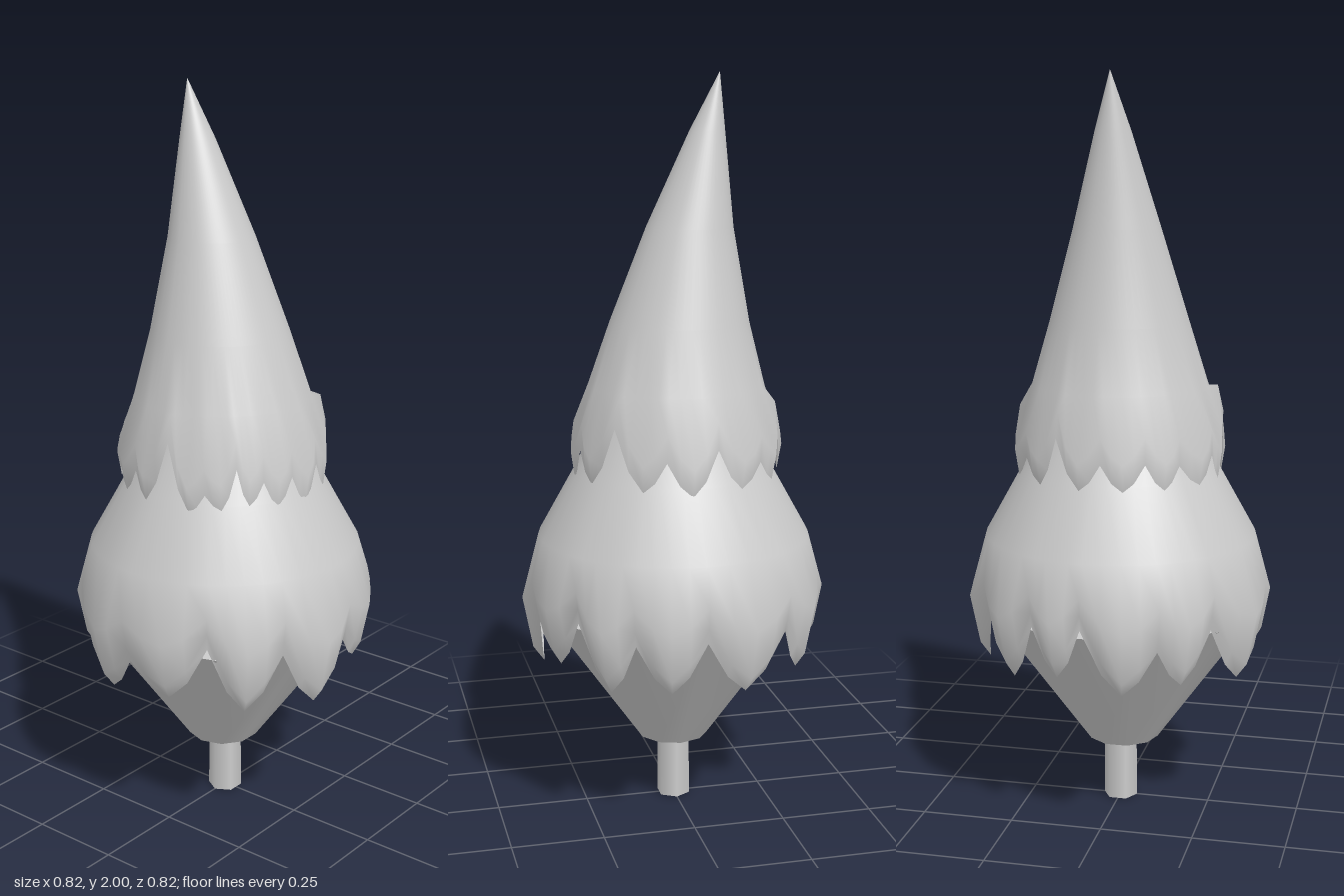
import * as THREE from 'three';

const mat = new THREE.MeshStandardMaterial({ color: 0xcccccc, side: THREE.DoubleSide });

// Hem outline: [angle in degrees from the front towards +x, height], alternating tip and notch.
const LOWER_HEM = [
  [-18, 0.41], [-3, 0.52], [15, 0.44], [32, 0.6], [47, 0.41], [62, 0.57], [80, 0.4], [95, 0.55],
  [112, 0.46], [127, 0.6], [140, 0.42], [152, 0.56], [166, 0.43], [180, 0.57], [198, 0.42],
  [217, 0.56], [232, 0.43], [246, 0.59], [256, 0.46], [267, 0.6], [283, 0.42], [297, 0.54],
  [308, 0.44], [320, 0.58],
];
const UPPER_HEM = [
  [-29, 0.94], [-17, 1.01], [-8, 0.94], [8, 1.11], [20, 0.93], [29, 0.98], [38, 0.94], [46, 1.05],
  [53, 0.95], [61, 1.01], [70, 0.94], [79, 1.01], [90, 0.93], [101, 1.02], [114, 0.94], [132, 1.1],
  [149, 0.94], [162, 1.02], [176, 0.93], [190, 1.05], [205, 0.94], [220, 1.0], [234, 0.94],
  [246, 1.07], [260, 0.94], [272, 1.01], [284, 0.94], [296, 1.01], [307, 0.94], [316, 1.0],
];

// Adds a point between each tip and notch so the lobes are rounded and the notches sharp.
function roundHem(hem) {
  return hem.flatMap(([a, y], i) => {
    const [b0, y2] = hem[(i + 1) % hem.length];
    const b = b0 < a ? b0 + 360 : b0;
    const t = i % 2 === 0 ? 0.33 : 0.67;
    return [[a, y], [(a + b) / 2, y + (y2 - y) * t]];
  });
}

// Open shell of rings, from top to hem. profile(hemY) gives [y, radius, centreX] per ring.
function leafShell(name, hem, profile) {
  const columns = roundHem(hem);
  const n = columns.length;
  const rows = profile(1).length;
  const positions = [];
  const index = [];
  const rings = columns.map(([, y]) => profile(y));
  for (let k = 0; k < rows; k++) {
    for (let i = 0; i < n; i++) {
      const a = THREE.MathUtils.degToRad(columns[i][0]);
      const [y, r, cx] = rings[i][k];
      positions.push(cx + r * Math.sin(a), y, r * Math.cos(a));
      if (k === rows - 1) continue;
      const j = (i + 1) % n;
      const tl = k * n + i, tr = k * n + j;
      index.push(tl, tl + n, tr + n, tl, tr + n, tr);
    }
  }
  const geo = new THREE.BufferGeometry();
  geo.setAttribute('position', new THREE.Float32BufferAttribute(positions, 3));
  geo.setIndex(index);
  geo.computeVertexNormals();
  const mesh = new THREE.Mesh(geo, mat);
  mesh.name = name;
  return mesh;
}

function cylinder(name, top, bottom, y0, y1, sides, z = 0) {
  const mesh = new THREE.Mesh(new THREE.CylinderGeometry(top, bottom, y1 - y0, sides), mat);
  mesh.position.set(0, (y0 + y1) / 2, z);
  mesh.name = name;
  return mesh;
}

export function createModel() {
  const tree = new THREE.Group();
  tree.name = 'tree';

  // Trunk and the inner cone of foliage under the skirt
  tree.add(cylinder('trunk', 0.045, 0.047, 0, 0.22, 6));
  tree.add(cylinder('foliageUnderside', 0.38, 0.098, 0.18, 0.57, 10, 0.008));

  // Wide lower skirt: bulges over the lobes and tucks in at the notches
  tree.add(leafShell('lowerFoliage', LOWER_HEM, (h) => {
    const t = THREE.MathUtils.clamp((h - 0.41) / 0.19, 0, 1);
    return [
      [1.15, 0.17, 0],
      [0.95, 0.27, 0],
      [0.77, 0.37, 0],
      [0.77 - (0.77 - h) * 0.5, 0.418 - 0.022 * t, 0],
      [h + 0.04, 0.39, 0],
      [h, 0.36 + 0.028 * t, 0],
    ];
  }));

  // Tall pointed top, leaning towards -x
  tree.add(leafShell('upperFoliage', UPPER_HEM, (h) => [
    [2.0, 0.0005, -0.125],
    [1.85, 0.047, -0.092],
    [1.6, 0.116, -0.045],
    [1.35, 0.187, -0.017],
    [1.18, 0.238, -0.008],
    [h + 0.07, 0.29 - (h - 0.93) * 0.15, -0.008],
    [h, 0.278, -0.006],
  ]));

  return tree;
}
